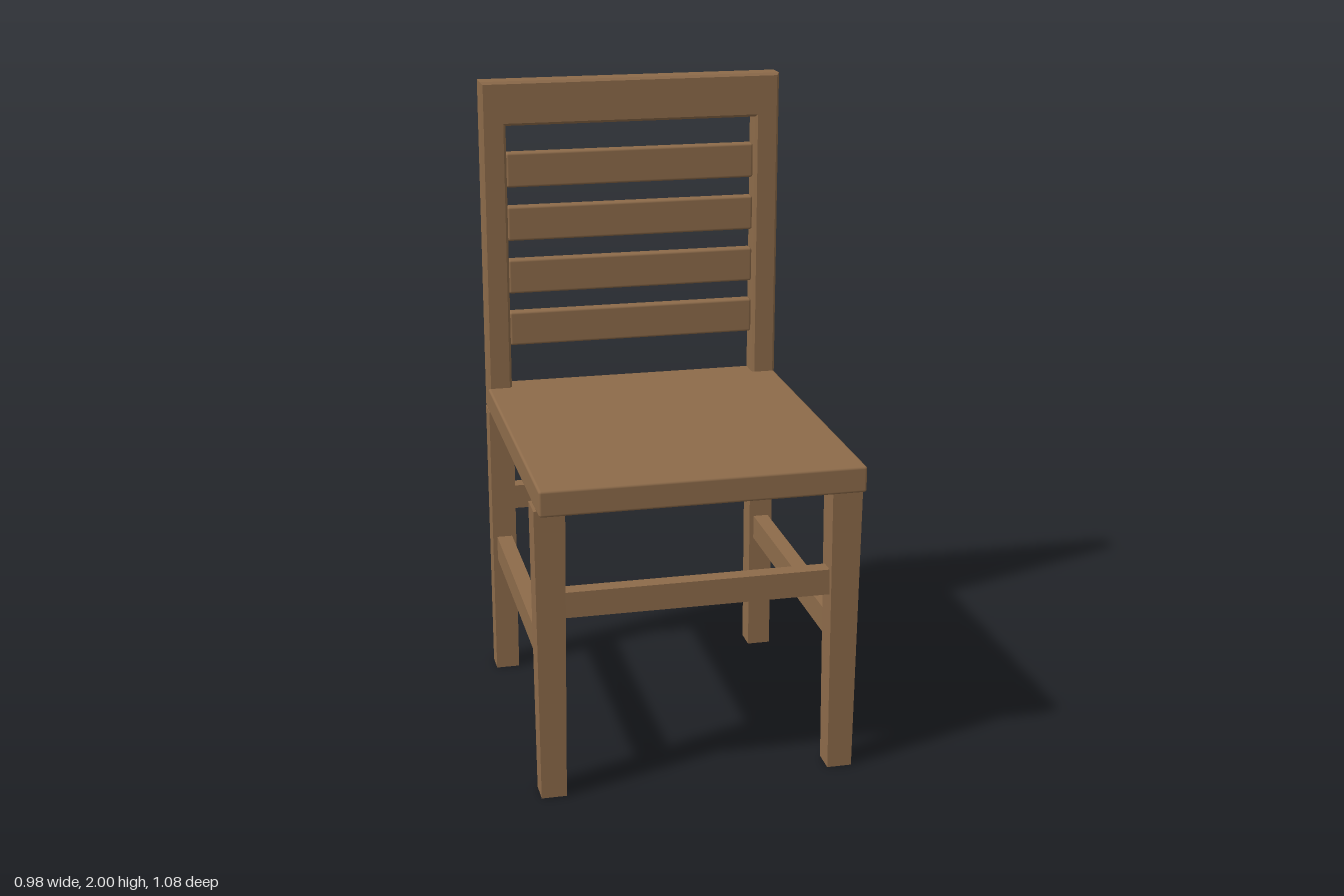
import * as THREE from 'three';
import { RoundedBoxGeometry } from 'three/addons/geometries/RoundedBoxGeometry.js';

const wood = new THREE.MeshStandardMaterial({ color: 0x8d6b4a });
wood.name = 'brownWood';

export function createModel() {
  const chair = new THREE.Group();
  chair.name = 'chair';

  const add = (name, geometry, x, y, z) => {
    const mesh = new THREE.Mesh(geometry, wood);
    mesh.name = name;
    mesh.position.set(x, y, z);
    chair.add(mesh);
    return mesh;
  };
  const box = (w, h, d) => new THREE.BoxGeometry(w, h, d);

  // Square leg whose foot is scaled down by the given taper
  const leg = (w, d, h, taper) => {
    const g = box(w, h, d);
    const p = g.attributes.position;
    for (let i = 0; i < p.count; i++) {
      if (p.getY(i) < 0) p.setXYZ(i, p.getX(i) * taper, p.getY(i), p.getZ(i) * taper);
    }
    g.computeVertexNormals();
    return g;
  };

  // Seat board with eased edges
  add('seat', new RoundedBoxGeometry(0.97, 0.08, 1.08, 2, 0.008), 0, 0.96, 0);

  // Legs and side stretchers, mirrored
  for (const [side, s] of [['left', 1], ['right', -1]]) {
    add(`${side}FrontLeg`, leg(0.092, 0.092, 0.92, 0.83), s * 0.446, 0.46, 0.437);
    add(`${side}BackLeg`, leg(0.08, 0.08, 0.92, 0.95), s * 0.445, 0.46, -0.5);
    add(`${side}SideStretcher`, box(0.05, 0.08, 0.87), s * 0.445, 0.44, -0.03);
  }

  // Front and back stretchers
  add('frontStretcher', box(0.82, 0.08, 0.05), 0, 0.613, 0.437);
  add('backStretcher', box(0.82, 0.08, 0.05), 0, 0.613, -0.5);

  // Back frame: two posts and a top rail in one bevelled piece
  const outer = 0.485, inner = 0.407, foot = 0.96, bevel = 0.008;
  const outline = new THREE.Shape([
    [-outer, foot], [-inner, foot], [-inner, 1.86], [inner, 1.86],
    [inner, foot], [outer, foot], [outer, 2], [-outer, 2],
  ].map(([x, y]) => new THREE.Vector2(x, y)));
  const frame = new THREE.ExtrudeGeometry(outline, {
    depth: 0.08 - 2 * bevel, bevelEnabled: true, bevelThickness: bevel,
    bevelSize: bevel, bevelOffset: -bevel, bevelSegments: 1,
  });
  add('backFrame', frame, 0, 0, -0.54 + bevel);

  // Four horizontal slats
  for (let i = 0; i < 4; i++) {
    add(`backSlat${i + 1}`, new RoundedBoxGeometry(0.812, 0.112, 0.04, 2, 0.008), 0, 1.193 + i * 0.174, -0.5);
  }

  return chair;
}
